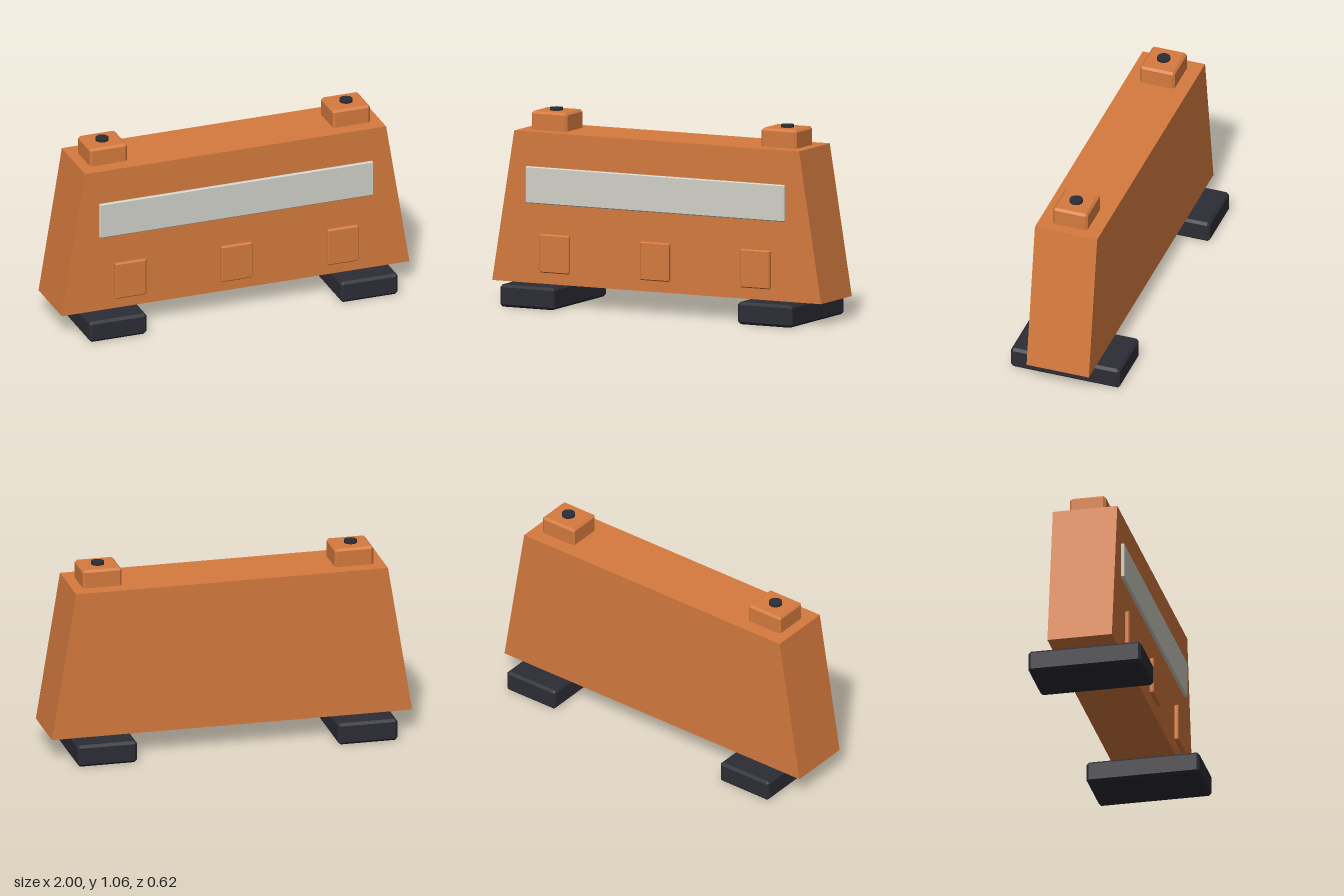
import * as THREE from 'three';
import { ConvexGeometry } from 'three/addons/geometries/ConvexGeometry.js';

const orange = new THREE.MeshStandardMaterial({ name: 'orange paint', color: 0xd67b3e });
const dark = new THREE.MeshStandardMaterial({ name: 'dark rubber', color: 0x2d2d36 });
const grey = new THREE.MeshStandardMaterial({ name: 'light grey panel', color: 0xd2d2ca });

// Box with flat chamfers of width b on every edge
function chamferBox(w, h, d, b) {
  const points = [];
  for (const sx of [-1, 1]) for (const sy of [-1, 1]) for (const sz of [-1, 1]) {
    for (let axis = 0; axis < 3; axis++) {
      const inset = [b, b, b];
      inset[axis] = 0;
      points.push(new THREE.Vector3(
        sx * (w / 2 - inset[0]), sy * (h / 2 - inset[1]), sz * (d / 2 - inset[2])));
    }
  }
  return new ConvexGeometry(points);
}

export function createModel() {
  const model = new THREE.Group();
  model.name = 'model';

  const add = (name, geometry, material, x, y, z) => {
    const mesh = new THREE.Mesh(geometry, material);
    mesh.name = name;
    mesh.position.set(x, y, z);
    model.add(mesh);
  };

  // Tapered body
  const outline = new THREE.Shape([
    new THREE.Vector2(-1, 0.123), new THREE.Vector2(1, 0.123),
    new THREE.Vector2(0.866, 0.945), new THREE.Vector2(-0.866, 0.945),
  ]);
  add('body', new THREE.ExtrudeGeometry(outline, { depth: 0.356, bevelEnabled: false }), orange, 0, 0, -0.178);

  // Feet, top blocks and their studs, mirrored left and right
  const foot = chamferBox(0.329, 0.121, 0.622, 0.014);
  const block = chamferBox(0.216, 0.115, 0.198, 0.012);
  const stud = new THREE.CylinderGeometry(0.036, 0.036, 0.03, 16);
  for (const [side, s] of [['left', 1], ['right', -1]]) {
    add(side + 'Foot', foot, dark, s * 0.723, 0.0625, 0);
    add(side + 'TopBlock', block, orange, s * 0.699, 0.9875, 0);
    add(side + 'Stud', stud, dark, s * 0.702, 1.045, 0);
  }

  // Long front panel
  add('frontPanel', chamferBox(1.574, 0.2, 0.02, 0.005), grey, -0.001, 0.658, 0.189);

  // Three small front hatches
  const hatch = chamferBox(0.178, 0.209, 0.025, 0.006);
  for (const x of [-0.611, -0.001, 0.61]) add('hatch', hatch, orange, x, 0.291, 0.194);

  // Settle the model on the ground
  for (const part of model.children) part.position.y -= 0.002;
  return model;
}
